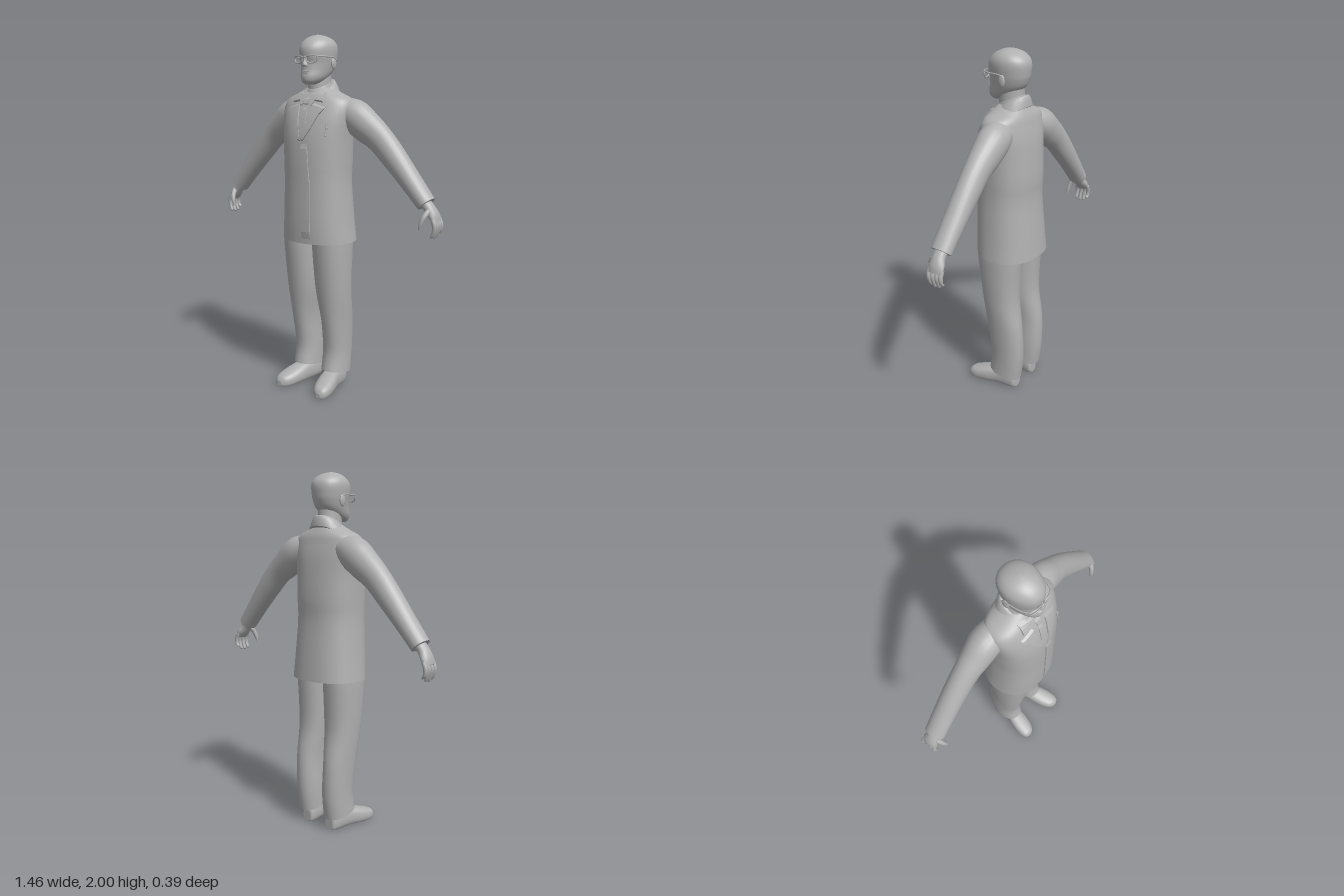
import * as THREE from 'three';

const clay = new THREE.MeshStandardMaterial({ color: 0xb0b0b0, side: THREE.DoubleSide });
clay.name = 'clay grey';
const X = new THREE.Vector3(1, 0, 0), Y = new THREE.Vector3(0, 1, 0), Z = new THREE.Vector3(0, 0, 1);

// Resample a list of number rows with a Catmull-Rom rule
function smooth(rows, k = 4) {
  const out = [], row = (i) => rows[Math.max(0, Math.min(rows.length - 1, i))];
  for (let i = 0; i < rows.length - 1; i++) {
    for (let s = 0; s < k; s++) {
      const t = s / k;
      out.push(row(i).map((b, c) => {
        const a = row(i - 1)[c], d = row(i + 1)[c], e = row(i + 2)[c];
        return b + 0.5 * t * (d - a + t * (2 * a - 5 * b + 4 * d - e + t * (3 * (b - d) + e - a)));
      }));
    }
  }
  out.push(rows[rows.length - 1]);
  return out;
}

function mesh(name, geometry) {
  const m = new THREE.Mesh(geometry, clay);
  m.name = name;
  return m;
}

// Closed loft through superellipse rings; each row is x, y, z, ru, rv
function loft(name, rows, { v, T = null, p = 2, n = 24, post = null }) {
  const pos = [], idx = [];
  const centre = rows.map((r) => new THREE.Vector3(r[0], r[1], r[2]));
  const pw = (c) => Math.sign(c) * Math.pow(Math.abs(c), 2 / p);
  const put = (q) => { if (post) post(q); pos.push(q.x, q.y, q.z); };
  rows.forEach((r, i) => {
    const t = T || centre[Math.min(i + 1, rows.length - 1)].clone().sub(centre[Math.max(i - 1, 0)]).normalize();
    const u = v.clone().cross(t).normalize(), w = t.clone().cross(u);
    for (let j = 0; j < n; j++) {
      const a = (j / n) * Math.PI * 2;
      put(centre[i].clone().addScaledVector(u, r[3] * pw(Math.cos(a))).addScaledVector(w, r[4] * pw(Math.sin(a))));
    }
  });
  for (let i = 0; i < rows.length - 1; i++) {
    for (let j = 0; j < n; j++) {
      const a = i * n + j, b = i * n + (j + 1) % n;
      idx.push(a, b, a + n, b, b + n, a + n);
    }
  }
  // end caps with their own vertices
  [0, rows.length - 1].forEach((i) => {
    const base = pos.length / 3;
    for (let j = 0; j < n; j++) pos.push(...pos.slice((i * n + j) * 3, (i * n + j) * 3 + 3));
    put(centre[i].clone());
    for (let j = 0; j < n; j++) {
      const a = base + j, b = base + (j + 1) % n;
      idx.push(base + n, ...(i ? [a, b] : [b, a]));
    }
  });
  const g = new THREE.BufferGeometry();
  g.setAttribute('position', new THREE.Float32BufferAttribute(pos, 3));
  g.setIndex(idx);
  g.computeVertexNormals();
  return mesh(name, g);
}

// Rows of y, half width, front z, back z become loft rows
const upright = (rows) => rows.map(([y, rx, f, b]) => [0, y, (f + b) / 2, (f - b) / 2, rx]);
const COAT_P = 2.3;
const coatRows = upright(smooth([
  [0.87, 0.214, 0.16, -0.19], [1.0, 0.203, 0.165, -0.18], [1.2, 0.192, 0.165, -0.163],
  [1.32, 0.195, 0.165, -0.165], [1.45, 0.202, 0.158, -0.157], [1.55, 0.214, 0.137, -0.147],
  [1.62, 0.216, 0.11, -0.132], [1.66, 0.195, 0.09, -0.122], [1.69, 0.13, 0.072, -0.108], [1.72, 0.07, 0.05, -0.09]]));

// Depth of the coat front at a point
function frontZ(x, y) {
  let i = 0;
  while (i < coatRows.length - 2 && coatRows[i + 1][1] < y) i++;
  const a = coatRows[i], b = coatRows[i + 1];
  const r = a.map((c, k) => THREE.MathUtils.lerp(c, b[k], (y - a[1]) / (b[1] - a[1])));
  return r[2] + r[3] * Math.pow(Math.max(0, 1 - Math.pow(Math.abs(x / r[4]), COAT_P)), 1 / COAT_P);
}

// Thin cloth panel laid on the coat; rows are y, x0, x1 and, if it slants, the y at x1
function panel(name, rows, lift, s = 1) {
  const pos = [], idx = [], cols = [0, 0.01, 0.2, 0.4, 0.6, 0.8, 0.99, 1];
  const full = rows.map(([y0, x0, x1, y1 = y0]) => [y0, x0, x1, y1]);
  const dense = [full[0]];
  for (let i = 1; i < full.length; i++) {
    for (let k = 1; k <= 5; k++) dense.push(full[i].map((c, m) => THREE.MathUtils.lerp(full[i - 1][m], c, k / 5)));
  }
  dense.forEach(([y0, x0, x1, y1], i) => {
    cols.forEach((u, j) => {
      const x = s * THREE.MathUtils.lerp(x0, x1, u), y = THREE.MathUtils.lerp(y0, y1, u);
      const edge = j === 0 || j === cols.length - 1 || i === 0 || i === dense.length - 1;
      pos.push(x, y, frontZ(x, y) + (edge ? -0.004 : lift));
      if (i && j) {
        const d = i * cols.length + j, c = d - 1, b = d - cols.length, a = b - 1;
        idx.push(...(s > 0 ? [a, c, b, b, c, d] : [a, b, c, b, d, c]));
      }
    });
  });
  const g = new THREE.BufferGeometry();
  g.setAttribute('position', new THREE.Float32BufferAttribute(pos, 3));
  g.setIndex(idx);
  const flat = g.toNonIndexed();
  flat.computeVertexNormals();
  return mesh(name, flat);
}

function wire(name, points, radius, closed = false) {
  const curve = new THREE.CatmullRomCurve3(points.map((q) => new THREE.Vector3(...q)), closed, 'catmullrom', 0.4);
  return mesh(name, new THREE.TubeGeometry(curve, 32, radius, 6, closed));
}

function blob(name, x, y, z, rx, ry, rz) {
  const m = mesh(name, new THREE.SphereGeometry(1, 16, 12));
  m.position.set(x, y, z);
  m.scale.set(rx, ry, rz);
  return m;
}

export function createModel() {
  const g = new THREE.Group();
  g.name = 'man in suit';

  // Head, neck and face
  g.add(loft('head', upright(smooth([
    [1.735, 0.028, 0.105, 0.04], [1.75, 0.052, 0.121, 0.0], [1.775, 0.07, 0.125, -0.045], [1.81, 0.081, 0.118, -0.088],
    [1.85, 0.09, 0.115, -0.107], [1.88, 0.095, 0.122, -0.113], [1.92, 0.098, 0.122, -0.116], [1.95, 0.092, 0.107, -0.107],
    [1.975, 0.073, 0.08, -0.082], [1.992, 0.042, 0.045, -0.045], [2.0, 0.008, 0.012, -0.008]])),
  { v: X, T: Y, p: 2.15, n: 32, post: (q) => { q.x *= 1 - 1.3 * Math.max(0, q.z); } }));
  g.add(loft('neck', [[0, 1.64, -0.02, 0.075, 0.066], [0, 1.72, -0.01, 0.07, 0.062], [0, 1.8, -0.01, 0.07, 0.062]], { v: X, T: Y }));
  g.add(loft('nose', smooth([[0, 1.828, 0.117, 0.008, 0.017], [0, 1.836, 0.12, 0.018, 0.017],
    [0, 1.86, 0.116, 0.014, 0.01], [0, 1.885, 0.114, 0.01, 0.008]]), { v: X, T: Y, n: 12 }));
  g.add(blob('upper lip', 0, 1.802, 0.117, 0.024, 0.005, 0.009));
  g.add(blob('lower lip', 0, 1.792, 0.117, 0.02, 0.005, 0.009));

  // Coat, shirt front and tie
  g.add(loft('coat', coatRows, { v: X, T: Y, p: COAT_P, n: 40 }));
  g.add(panel('shirtFront', [[1.69, -0.055, 0.055], [1.6, -0.045, 0.045], [1.44, -0.005, 0.005]], 0.002));
  g.add(panel('tieKnot', [[1.665, -0.02, 0.02], [1.625, -0.011, 0.011]], 0.014));
  g.add(panel('tie', [[1.625, -0.011, 0.011], [1.51, -0.025, 0.025], [1.435, -0.004, 0.004]], 0.007));
  g.add(panel('coatFrontEdge', [[1.44, 0, 0.04], [1.2, 0, 0.06], [0.872, 0.004, 0.06]], 0.005));
  const slope = (k) => (q) => { q.y -= k * (q.z + 0.01); };
  g.add(loft('shirtCollar', [[0, 1.67, -0.005, 0.085, 0.078], [0, 1.735, -0.008, 0.077, 0.067], [0, 1.742, -0.008, 0.07, 0.06]],
    { v: X, T: Y, post: slope(0.45) }));
  g.add(loft('coatCollar', smooth([[0, 1.655, -0.012, 0.105, 0.118], [0, 1.69, -0.013, 0.1, 0.1], [0, 1.718, -0.016, 0.088, 0.083],
    [0, 1.724, -0.016, 0.078, 0.075]], 2), { v: X, T: Y, post: slope(0.55) }));

  // Breast pocket pen
  const pen = mesh('pen', new THREE.CylinderGeometry(0.004, 0.004, 0.07, 8));
  pen.position.set(0.14, 1.495, frontZ(0.14, 1.495) + 0.003);
  pen.rotation.x = -0.2;
  const clip = mesh('penClip', new THREE.BoxGeometry(0.016, 0.006, 0.006));
  clip.position.set(0.145, 1.5, frontZ(0.145, 1.5) + 0.004);
  g.add(pen, clip);

  // Glasses bridge
  g.add(wire('glassesBridge', [[-0.013, 1.873, 0.126], [0, 1.877, 0.13], [0.013, 1.873, 0.126]], 0.004));

  for (const s of [1, -1]) {
    const side = s > 0 ? 'left' : 'right';
    const flip = (rows) => rows.map(([x, ...r]) => [x * s, ...r]);
    const part = (name, rows, opts) => g.add(loft(side + name, smooth(flip(rows)), opts));

    // Glasses rim, temple and ear
    g.add(wire(side + 'GlassesRim', flip([[0.014, 1.878, 0.126], [0.04, 1.884, 0.125], [0.072, 1.882, 0.113], [0.075, 1.865, 0.111],
      [0.062, 1.849, 0.116], [0.035, 1.846, 0.123], [0.016, 1.856, 0.126]]), 0.004, true));
    g.add(wire(side + 'GlassesTemple', flip([[0.074, 1.88, 0.112], [0.092, 1.88, 0.07], [0.1, 1.878, 0.0], [0.1, 1.862, -0.03]]), 0.004));
    g.add(blob(side + 'Ear', s * 0.094, 1.847, -0.012, 0.01, 0.032, 0.02));

    // Lapels and collar points
    g.add(panel(side + 'CollarLeaf', [[1.7, 0.05, 0.09], [1.645, 0.042, 0.1, 1.635]], 0.012, s));
    g.add(panel(side + 'Lapel', [[1.64, 0.045, 0.124, 1.615], [1.58, 0.037, 0.096], [1.5, 0.02, 0.056], [1.43, 0, 0.01]], 0.01, s));
    g.add(panel(side + 'ShirtCollarPoint', [[1.69, 0.012, 0.055], [1.655, 0.012, 0.05], [1.62, 0.03, 0.036]], 0.01, s));

    // Sleeve
    part('Sleeve', [[0.1, 1.6, -0.03, 0.06, 0.07], [0.2, 1.572, -0.045, 0.09, 0.085], [0.28, 1.515, -0.05, 0.088, 0.078],
      [0.365, 1.45, -0.054, 0.076, 0.067], [0.45, 1.36, -0.056, 0.069, 0.064], [0.55, 1.246, -0.056, 0.058, 0.061],
      [0.653, 1.125, -0.055, 0.049, 0.058]], { v: Z });

    // Hand
    part('Palm', [[0.645, 1.135, -0.055, 0.028, 0.035], [0.675, 1.1, -0.055, 0.028, 0.038],
      [0.698, 1.065, -0.06, 0.024, 0.046], [0.714, 1.035, -0.062, 0.014, 0.044]], { v: Z, n: 16 });
    [-0.024, -0.05, -0.076, -0.1].forEach((z, i) => {
      const tip = [0.958, 0.952, 0.955, 0.972][i];
      part('Finger' + (i + 1), [[0.704, 1.055, z, 0.012, 0.012], [0.717, 1.02, z, 0.012, 0.012],
        [0.714, 0.99, z, 0.01, 0.011], [0.703, tip + 0.006, z, 0.008, 0.009], [0.7, tip, z, 0.003, 0.004]], { v: Z, n: 10 });
    });
    part('Thumb', [[0.68, 1.095, -0.03, 0.016, 0.016], [0.668, 1.065, -0.002, 0.014, 0.014],
      [0.657, 1.03, 0.01, 0.011, 0.011], [0.65, 1.0, 0.012, 0.005, 0.005]], { v: X, n: 10 });

    // Trouser leg with a hem that drops toward the heel
    part('TrouserLeg', [[0.1, 0.09, -0.038, 0.1, 0.073], [0.1, 0.22, -0.055, 0.1, 0.072], [0.105, 0.4, -0.04, 0.11, 0.075],
      [0.1, 0.6, -0.01, 0.11, 0.094], [0.1, 0.86, 0, 0.13, 0.104], [0.1, 0.93, 0, 0.13, 0.1]],
    { v: X, T: Y, p: 2.2, post: (q) => { if (q.y < 0.25) q.y += 0.2 * (q.z + 0.04) * (0.25 - q.y) / 0.16; } });

    // Shoe, flat underneath
    part('Shoe', [[0.088, 0.035, -0.115, 0.028, 0.036], [0.09, 0.045, -0.095, 0.044, 0.058], [0.1, 0.05, 0, 0.05, 0.06],
      [0.115, 0.042, 0.07, 0.058, 0.052], [0.13, 0.03, 0.14, 0.054, 0.042], [0.138, 0.024, 0.18, 0.038, 0.032],
      [0.14, 0.018, 0.196, 0.014, 0.014]], { v: Y, T: Z, p: 2.5, post: (q) => { q.y = Math.max(0, q.y); } });
  }
  return g;
}
